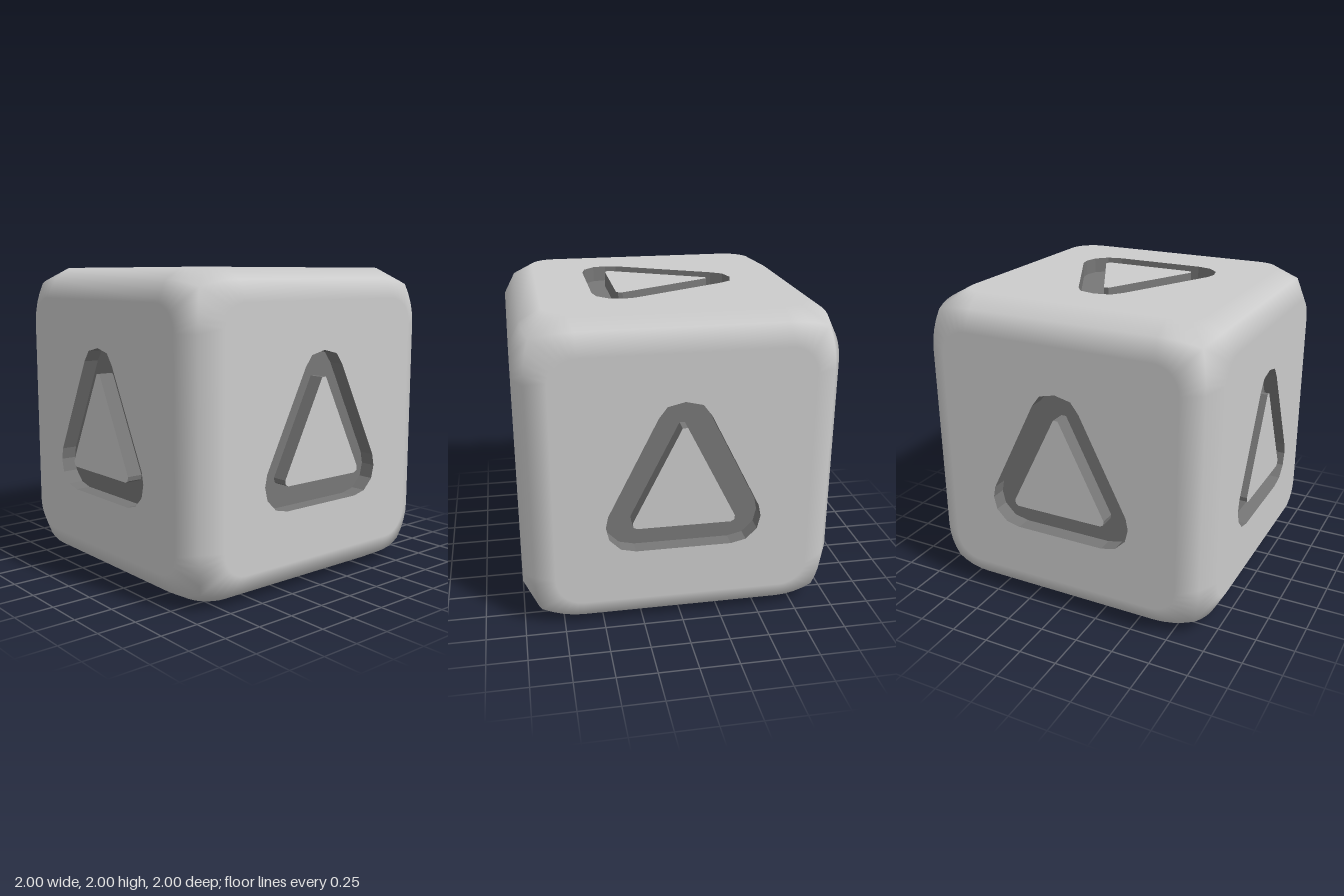
import * as THREE from 'three';

const FLAT = 0.8;     // half width of the flat part of a side
const CORNER = 0.17;  // rounding of the flat part's corners
const CREST = 0.93;   // edge middle line
const TIP = 0.89;     // cube corner
const DEPTH = 0.1;    // groove depth
const STEPS = 8;

// Mirror a right-hand half outline (top to bottom) into a closed clockwise loop
function mirrorLoop(half) {
  const left = half.filter(([x]) => x > 0).reverse().map(([x, y]) => [-x, y]);
  return [...half, ...left].map(([x, y]) => new THREE.Vector2(x, y)).reverse();
}

const grooveOuter = mirrorLoop([
  [0, 0.5], [0.107, 0.475], [0.16, 0.405], [0.47, -0.213],
  [0.485, -0.288], [0.465, -0.373], [0.395, -0.443], [0.3, -0.465],
]);
const grooveInner = mirrorLoop([
  [0.016, 0.335], [0.32, -0.27], [0.316, -0.298], [0.295, -0.31],
]);

// Flat outline, matching crest line and crest normals, counter-clockwise
function sideRings() {
  const rings = [];
  const base = FLAT - CORNER;
  for (let q = 0; q < 4; q++) {
    const turn = (x, y, z) => new THREE.Vector3(x, y, z)
      .applyAxisAngle(new THREE.Vector3(0, 0, 1), q * Math.PI / 2);
    for (let i = 0; i <= STEPS; i++) {
      const a = (i / STEPS) * Math.PI / 2;
      const first = i <= STEPS / 2;
      const s = 1 - Math.abs(2 * i / STEPS - 1);
      const across = CREST - (CREST - TIP) * s * s;
      const along = base + (TIP - base) * s;
      rings.push({
        flat: turn(base + CORNER * Math.cos(a), base + CORNER * Math.sin(a), 1),
        crest: first ? turn(across, along, across) : turn(along, across, across),
        normal: (first ? turn(1, s, 1) : turn(s, 1, 1)).normalize(),
      });
    }
  }
  return rings;
}

// Rounded border from the flat outline to the crest line, smooth shaded
function bevelGeometry(rings) {
  const pos = [], nor = [], index = [];
  const n = rings.length;
  rings.forEach((r, i) => {
    pos.push(...r.flat.toArray(), ...r.crest.toArray());
    nor.push(0, 0, 1, ...r.normal.toArray());
    const a = 2 * i, b = 2 * ((i + 1) % n);
    index.push(a, a + 1, b + 1, a, b + 1, b);
  });
  const g = new THREE.BufferGeometry();
  g.setAttribute('position', new THREE.Float32BufferAttribute(pos, 3));
  g.setAttribute('normal', new THREE.Float32BufferAttribute(nor, 3));
  g.setIndex(index);
  return g;
}

// Upright wall under a loop; inward walls face the middle of the loop
function wallGeometry(loop, inward) {
  const pos = [];
  loop.forEach((p, i) => {
    const q = loop[(i + 1) % loop.length];
    const [a, b] = inward ? [q, p] : [p, q];
    const lo = 1 - DEPTH;
    pos.push(a.x, a.y, lo, b.x, b.y, lo, b.x, b.y, 1);
    pos.push(a.x, a.y, lo, b.x, b.y, 1, a.x, a.y, 1);
  });
  const g = new THREE.BufferGeometry();
  g.setAttribute('position', new THREE.Float32BufferAttribute(pos, 3));
  g.computeVertexNormals();
  return g;
}

function plate(outline, hole, z) {
  const shape = new THREE.Shape(outline);
  if (hole) shape.holes.push(new THREE.Path(hole));
  return new THREE.ShapeGeometry(shape).translate(0, 0, z);
}

export function createModel() {
  const model = new THREE.Group();
  model.name = 'triangleDie';
  const bodyMat = new THREE.MeshStandardMaterial({ color: 0xcccccc });
  const grooveMat = new THREE.MeshStandardMaterial({ color: 0x777777 });

  const rings = sideRings();
  const outline = rings.map((r) => new THREE.Vector2(r.flat.x, r.flat.y));
  const parts = [
    ['roundedEdge', bevelGeometry(rings), bodyMat],
    ['flatSide', plate(outline, grooveOuter, 1), bodyMat],
    ['triangleIsland', plate(grooveInner, null, 1), bodyMat],
    ['grooveFloor', plate(grooveOuter, grooveInner, 1 - DEPTH), grooveMat],
    ['grooveOuterWall', wallGeometry(grooveOuter, true), grooveMat],
    ['grooveInnerWall', wallGeometry(grooveInner, false), grooveMat],
  ];

  // Each side: outward direction and the way its triangle points
  const sides = {
    front: [[0, 0, 1], [0, 1, 0]],
    back: [[0, 0, -1], [0, 1, 0]],
    left: [[1, 0, 0], [0, 1, 0]],
    right: [[-1, 0, 0], [0, 1, 0]],
    top: [[0, 1, 0], [-1, 0, 0]],
    bottom: [[0, -1, 0], [1, 0, 0]],
  };
  for (const [name, [out, up]] of Object.entries(sides)) {
    const side = new THREE.Group();
    side.name = name + 'Side';
    const n = new THREE.Vector3(...out), v = new THREE.Vector3(...up);
    const u = new THREE.Vector3().crossVectors(v, n);
    side.quaternion.setFromRotationMatrix(new THREE.Matrix4().makeBasis(u, v, n));
    side.position.y = 1;
    for (const [part, geometry, material] of parts) {
      const mesh = new THREE.Mesh(geometry, material);
      mesh.name = part;
      side.add(mesh);
    }
    model.add(side);
  }
  return model;
}
